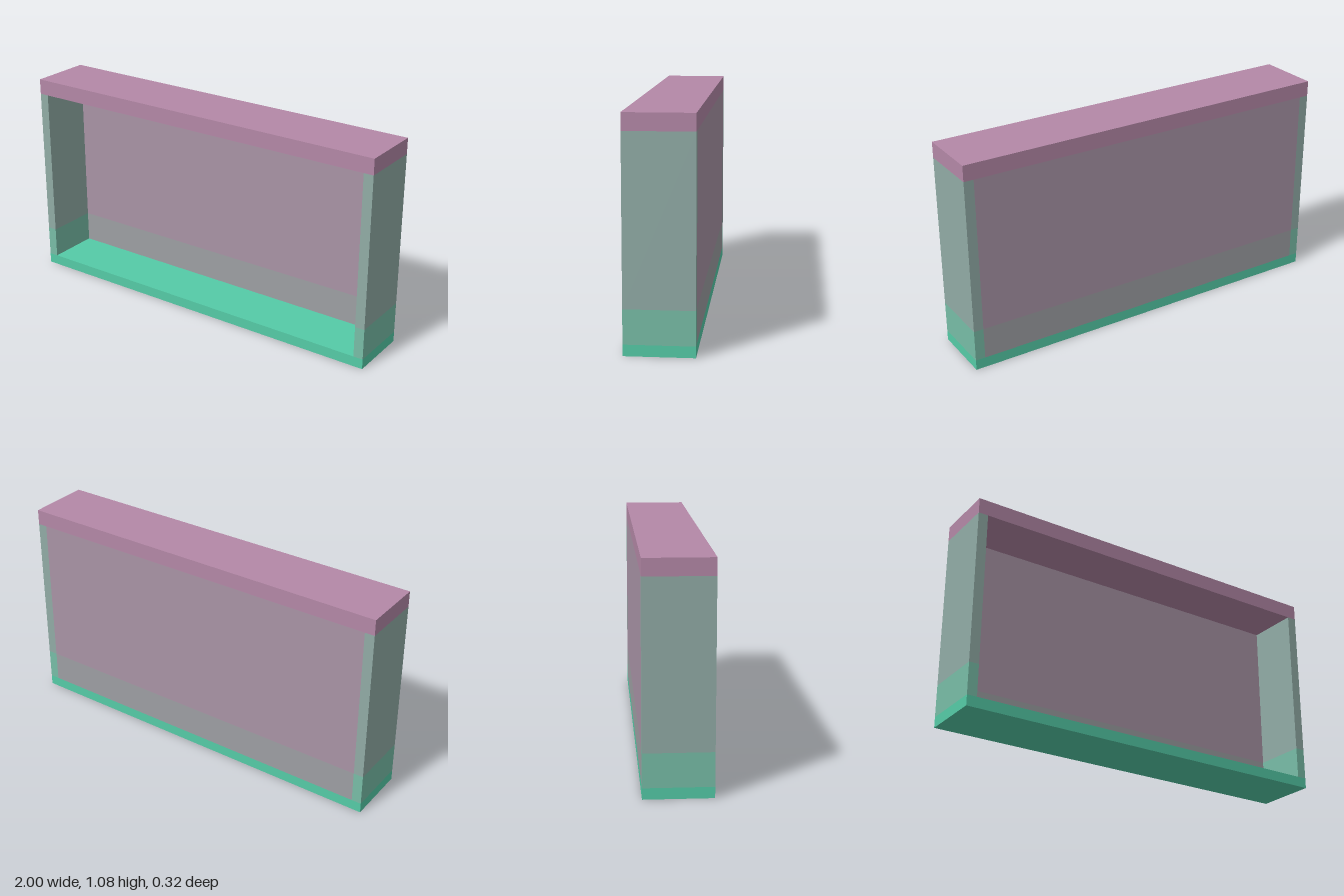
import * as THREE from 'three';

const WIDTH = 2, HEIGHT = 1.08, DEPTH = 0.325;
const WALL = 0.05, FLOOR = 0.053, BAND = 0.214, CEILING = 1.0;

function paint(name, color) {
  const m = new THREE.MeshStandardMaterial({ color });
  m.name = name;
  return m;
}

export function createModel() {
  const group = new THREE.Group();
  group.name = 'openBox';

  const mauve = paint('mauve', 0xb488a7);
  const green = paint('green', 0x55cba7);
  const sage = paint('sage', 0x91aca6);
  const paleGreen = paint('pale green', 0x78bda7);
  const dustyMauve = paint('dusty mauve', 0xa994a6);
  const grey = paint('grey', 0x9d9fa3);

  // Box given by its lower and upper limits on each axis
  function slab(name, material, [x0, x1], [y0, y1], [z0, z1]) {
    const mesh = new THREE.Mesh(new THREE.BoxGeometry(x1 - x0, y1 - y0, z1 - z0), material);
    mesh.position.set((x0 + x1) / 2, (y0 + y1) / 2, (z0 + z1) / 2);
    mesh.name = name;
    group.add(mesh);
  }

  const w = WIDTH / 2, d = DEPTH / 2, inner = w - WALL;
  const fullX = [-w, w], fullZ = [-d, d], backZ = [-d, -d + WALL];
  const lower = [FLOOR, BAND], upper = [BAND, CEILING];

  // Base and top boards
  slab('base', green, fullX, [0, FLOOR], fullZ);
  slab('top', mauve, fullX, [CEILING, HEIGHT], fullZ);

  // Side walls, each with a lower band
  for (const [side, x] of [['left', [inner, w]], ['right', [-w, -inner]]]) {
    slab(side + 'WallLower', paleGreen, x, lower, fullZ);
    slab(side + 'WallUpper', sage, x, upper, fullZ);
  }

  // Back panel between the walls
  slab('backPanelLower', grey, [-inner, inner], lower, backZ);
  slab('backPanelUpper', dustyMauve, [-inner, inner], upper, backZ);

  return group;
}
